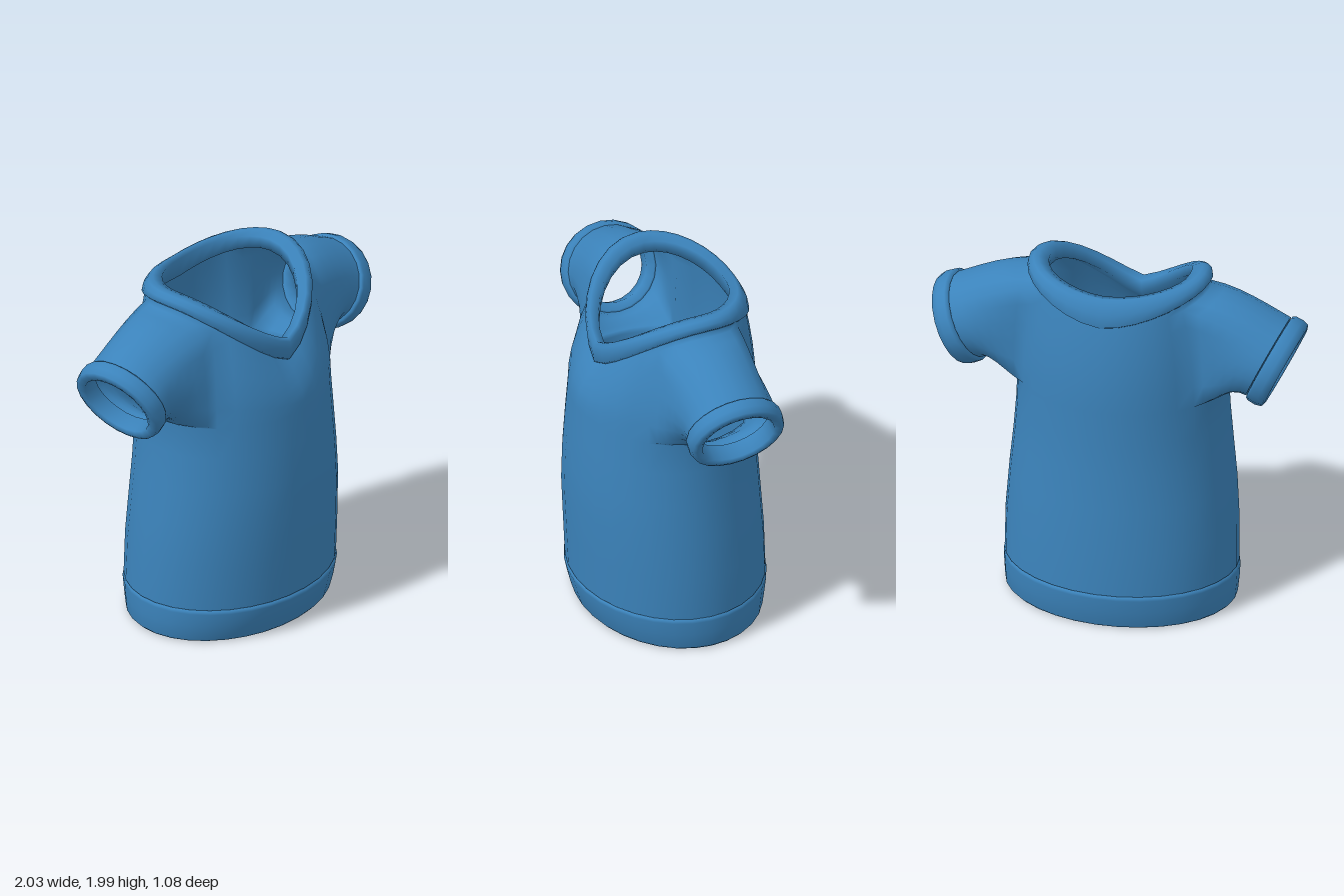
import * as THREE from 'three';

const N = 32;            // columns around the torso, column 0 at the front
const ARM = N / 4;       // column in the middle of the armhole
const HALF = 3;          // armhole half width in columns
const V = (x, y, z) => new THREE.Vector3(x, y, z);

// Horizontal oval: height, half width, half depth, z offset
function oval([y, a, b, zc]) {
  return Array.from({ length: N }, (_, i) => {
    const t = (i / N) * Math.PI * 2;
    return V(a * Math.sin(t), y, zc + b * Math.cos(t));
  });
}

// V-neck loop: half width, front and back z, heights at front, shoulder and back
function neckLoop([a, zf, zb, yf, ys, yb]) {
  const zc = -0.05;
  return Array.from({ length: N }, (_, i) => {
    const t = (i / N) * Math.PI * 2;
    const s = Math.abs(Math.sin(t)), c = Math.cos(t);
    const y = c >= 0 ? yf + (ys - yf) * s ** 1.3 : yb + (ys - yb) * s ** 1.5;
    return V(a * Math.sin(t), y, zc + (c >= 0 ? (zf - zc) * c : (zc - zb) * c));
  });
}

// Sleeve section on the +x side, at a distance past the cuff seam
const TILT = 0.44, COUNT = 22;
const axis = V(Math.cos(TILT), -Math.sin(TILT), 0);
function sleevePoint(k, dist, grow) {
  const p = (k / COUNT) * Math.PI * 2;
  const r = (0.237 + grow) * Math.cos(p);
  return V(0.833 + r * Math.sin(TILT), 1.535 + r * Math.cos(TILT), -0.05 + (0.252 + grow) * Math.sin(p))
    .addScaledVector(axis, dist);
}

function toGeometry(points, index) {
  const g = new THREE.BufferGeometry().setFromPoints(points);
  g.setIndex(index);
  g.computeVertexNormals();
  return g;
}

// Skin closed rings of equal length
function loft(rings) {
  const n = rings[0].length, index = [];
  for (let j = 0; j < rings.length - 1; j++) {
    for (let i = 0; i < n; i++) {
      const a = j * n + i, b = j * n + (i + 1) % n;
      index.push(a, b, b + n, a, b + n, a + n);
    }
  }
  return toGeometry(rings.flat(), index);
}

const SEAM = [0.49, 0.385, -0.43, 1.54, 1.92, 1.77];

// Torso with armholes, flowing into both sleeves as one smooth skin
function bodyGeometry() {
  const rows = [
    [0.2, 0.64, 0.52, -0.01], [0.45, 0.637, 0.522, 0], [0.7, 0.62, 0.52, 0.015],
    [0.9, 0.6, 0.512, 0.02], [1.1, 0.583, 0.502, 0.018], [1.28, 0.575, 0.495, 0.01],
  ].map(oval);
  const low = rows.length - 1;
  const base = rows[low], seam = neckLoop(SEAM);
  for (const u of [0.2, 0.4, 0.6, 0.8, 0.95, 1]) {
    rows.push(base.map((p, i) => {
      const q = p.clone().lerp(seam[i], u * u);
      q.y = THREE.MathUtils.lerp(p.y, seam[i].y, u);
      return q;
    }));
  }
  const high = rows.length - 2;
  const points = rows.flat(), index = [];
  const quad = (a, b, c, d, flip) =>
    flip ? index.push(a, c, b, a, d, c) : index.push(a, b, c, a, c, d);

  for (let j = 0; j < rows.length - 1; j++) {
    for (let i = 0; i < N; i++) {
      const m = i < N / 2 ? i : N - 1 - i;
      const hole = j >= low && j < high && m >= ARM - HALF && m < ARM + HALF;
      const k = (i + 1) % N;
      if (!hole) quad(j * N + i, j * N + k, (j + 1) * N + k, (j + 1) * N + i, false);
    }
  }

  // Armhole edge, from the top centre towards the front and round
  const edge = [];
  for (let i = ARM; i > ARM - HALF; i--) edge.push([high, i]);
  for (let j = high; j > low; j--) edge.push([j, ARM - HALF]);
  for (let i = ARM - HALF; i < ARM + HALF; i++) edge.push([low, i]);
  for (let j = low; j < high; j++) edge.push([j, ARM + HALF]);
  for (let i = ARM + HALF; i > ARM; i--) edge.push([high, i]);

  const STEPS = 6;
  for (const side of [1, -1]) {
    let prev = edge.map(([j, i]) => j * N + (side > 0 ? i : N - i));
    const curves = edge.map(([j, i], k) => {
      const start = rows[j][i], end = sleevePoint(k, 0, 0);
      const up = Math.max(0, Math.cos((k / COUNT) * Math.PI * 2));
      const c1 = start.clone().lerp(end, 0.35);
      c1.y += 0.055 * up;
      const c2 = end.clone().addScaledVector(axis, -0.1 - 0.05 * up);
      return new THREE.CubicBezierCurve3(start, c1, c2, end);
    });
    for (let s = 1; s <= STEPS; s++) {
      const next = curves.map((c) => {
        const p = c.getPoint(s / STEPS);
        p.x *= side;
        return points.push(p) - 1;
      });
      for (let k = 0; k < COUNT; k++) {
        const l = (k + 1) % COUNT;
        quad(prev[k], prev[l], next[l], next[k], side < 0);
      }
      prev = next;
    }
  }
  return toGeometry(points, index);
}

// Folded cuff band with an inner lining
function cuffGeometry(side) {
  const rings = [
    [0.004, -0.008], [0.006, 0.01], [0.02, 0.018], [0.065, 0.02], [0.1, 0.01],
    [0.108, -0.012], [0.1, -0.045], [0.01, -0.052], [0, -0.008],
  ].map(([d, g]) => Array.from({ length: COUNT }, (_, k) => {
    const p = sleevePoint(k, d, g);
    p.x *= side;
    return p;
  }));
  return loft(side > 0 ? rings : rings.reverse());
}

export function createModel() {
  const cloth = new THREE.MeshStandardMaterial({ color: 0x3b83bb, side: THREE.DoubleSide });
  cloth.name = 'blue cloth';
  const shirt = new THREE.Group();
  shirt.name = 'shirt';
  const add = (name, geometry) => {
    const mesh = new THREE.Mesh(geometry, cloth);
    mesh.name = name;
    shirt.add(mesh);
  };

  add('bodyAndSleeves', bodyGeometry());
  add('leftCuff', cuffGeometry(1));
  add('rightCuff', cuffGeometry(-1));

  // Hem band, listed from the lining round to the outer seam
  add('hem', loft([
    [0.2, 0.63, 0.51, -0.01], [0.19, 0.59, 0.47, -0.01], [0.02, 0.585, 0.445, -0.02],
    [0, 0.6, 0.46, -0.02], [0, 0.62, 0.478, -0.02], [0.015, 0.635, 0.492, -0.02],
    [0.1, 0.642, 0.512, -0.013], [0.175, 0.645, 0.526, -0.01], [0.19, 0.642, 0.522, -0.01],
    [0.198, 0.63, 0.51, -0.01],
  ].map(oval)));

  // Rolled V collar, from the outer seam over the crest and down inside
  add('collar', loft([
    SEAM,
    [0.505, 0.402, -0.447, 1.55, 1.935, 1.78],
    [0.5, 0.41, -0.435, 1.61, 1.965, 1.85],
    [0.475, 0.408, -0.41, 1.655, 1.983, 1.905],
    [0.445, 0.39, -0.385, 1.675, 1.985, 1.925],
    [0.39, 0.345, -0.34, 1.66, 1.965, 1.92],
    [0.39, 0.34, -0.36, 1.6, 1.9, 1.8],
    SEAM,
  ].map(neckLoop)));

  // The shirt stands turned slightly to its left
  shirt.rotation.y = 0.25;
  shirt.position.x = 0.005;
  const model = new THREE.Group();
  model.name = 'shirtModel';
  model.add(shirt);
  return model;
}
